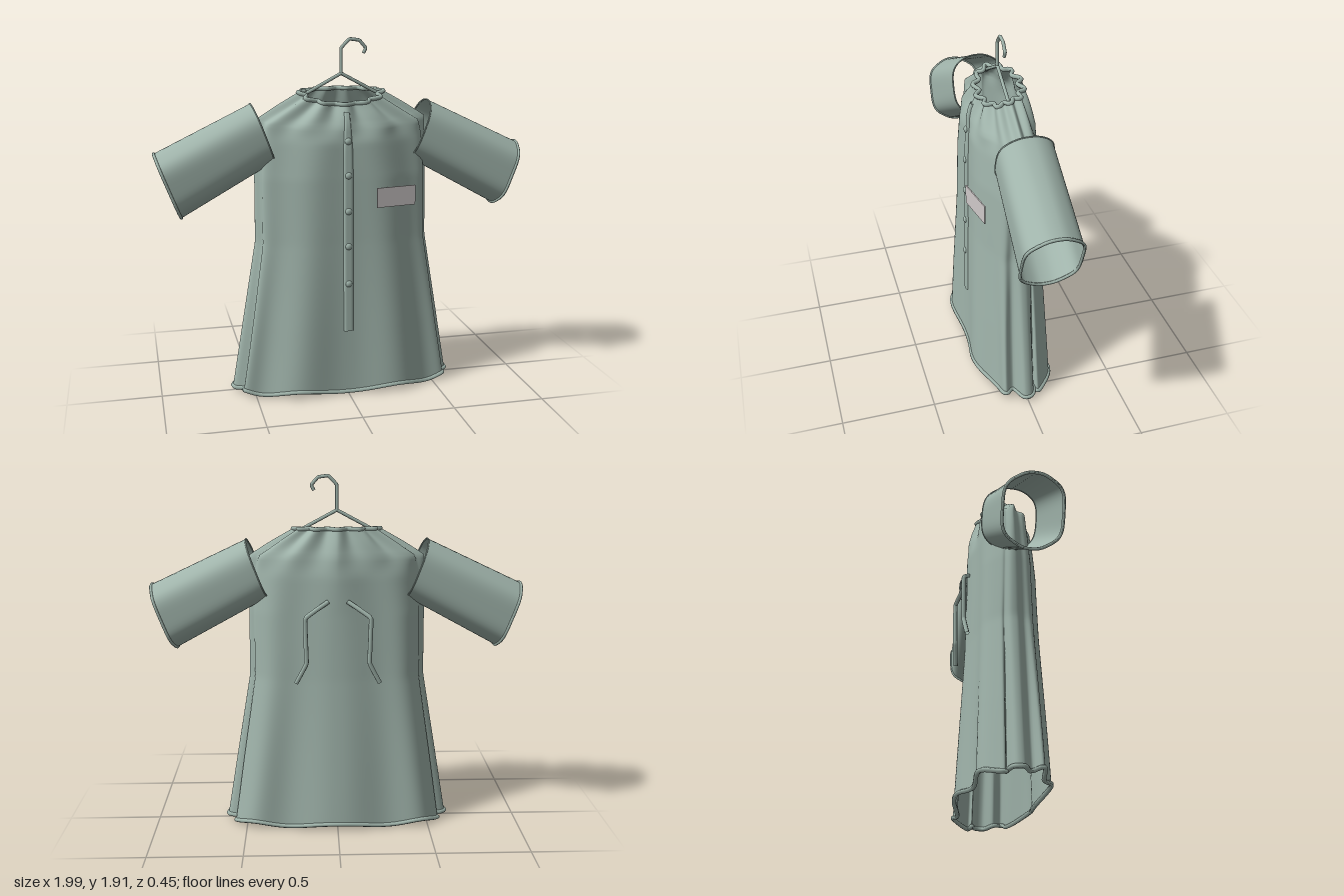
import * as THREE from 'three';

const cloth = new THREE.MeshStandardMaterial({ color: 0xa0b4ab, side: THREE.DoubleSide });
cloth.name = 'sage cloth';
const silver = new THREE.MeshStandardMaterial({ color: 0xcfcaca });
silver.name = 'badge silver';

const TAU = Math.PI * 2;
const { lerp, smoothstep } = THREE.MathUtils;
const power = (v, p) => Math.sign(v) * Math.abs(v) ** p;

// Surface from a function fn(u, v) -> Vector3; closed joins u = 1 to u = 0
function grid(fn, nu, nv, closed) {
  const pos = [], idx = [], cols = closed ? nu : nu + 1;
  for (let j = 0; j <= nv; j++)
    for (let i = 0; i < cols; i++) pos.push(...fn(i / nu, j / nv).toArray());
  for (let j = 0; j < nv; j++)
    for (let i = 0; i < nu; i++) {
      const k = (i + 1) % cols;
      const a = j * cols + i, b = j * cols + k, c = a + cols, d = b + cols;
      idx.push(a, c, b, b, c, d);
    }
  const g = new THREE.BufferGeometry();
  g.setAttribute('position', new THREE.Float32BufferAttribute(pos, 3));
  g.setIndex(idx);
  g.computeVertexNormals();
  return g;
}

// Gown sections: height, half width, front z, back z, squareness
const sections = [
  [0.035, 0.612, 0.208, 0.2, 0.85],
  [0.4, 0.55, 0.197, 0.185, 0.85],
  [0.85, 0.473, 0.182, 0.167, 0.87],
  [1.2, 0.47, 0.176, 0.163, 0.95],
  [1.4, 0.463, 0.168, 0.165, 1.1],
  [1.5, 0.452, 0.152, 0.154, 1.15],
  [1.57, 0.335, 0.13, 0.133, 1.1],
  [1.64, 0.215, 0.1, 0.108, 1]
];

function sectionAt(y) {
  let i = 0;
  while (i < sections.length - 2 && y > sections[i + 1][0]) i++;
  const a = sections[i], b = sections[i + 1], t = (y - a[0]) / (b[0] - a[0]);
  return a.map((v, k) => lerp(v, b[k], t));
}

// Point on the gown; angle 90 degrees is the front centre
function bodyPoint(angle, y) {
  const [, w, front, back, p] = sectionAt(y);
  const c = Math.cos(angle), s = Math.sin(angle), side = Math.sign(s);
  const low = 1 - smoothstep(y, 0.03, 1.1), neck = smoothstep(y, 1.4, 1.64);
  const hem = 1 - smoothstep(y, 0.03, 0.4);
  // Hanging folds, a valley at the front centre and a crest at the back
  const fold = -side * Math.cos(8 * angle) * smoothstep(Math.abs(s), 0, 0.35);
  const foldDepth = lerp(0.008, 0.018, low) * (1 - neck);
  // Inward pleats either side of the side seam
  const pleat = Math.exp(-(((Math.abs(s) - 0.23) / 0.1) ** 2)) * lerp(0.035, 0.11, low) * (1 - neck);
  const gather = 0.15 * neck * Math.cos(12 * angle);
  const x = w * power(c, p) * (1 - pleat) * (1 + gather * 0.5);
  const z = power(s, p) * (s > 0 ? front : back) * (1 + gather) + side * fold * foldDepth;
  const dip = (s > 0 ? -0.055 : -0.008) * s * smoothstep(y, 1.3, 1.64);
  return new THREE.Vector3(x, y + dip + 0.014 * hem * fold, z);
}

// Rounded trim along a closed ring of points
function ringTube(pointAt, n, r) {
  const pts = Array.from({ length: n }, (_, i) => pointAt((i / n) * TAU));
  return new THREE.TubeGeometry(new THREE.CatmullRomCurve3(pts, true), n * 2, r, 6, true);
}

// Rod through a few points with tight bends
function rod(points, r) {
  const curve = new THREE.CatmullRomCurve3(
    points.map(p => new THREE.Vector3(...p)), false, 'catmullrom', 0.08);
  return new THREE.TubeGeometry(curve, points.length * 10, r, 8, false);
}

// Sleeve point; t runs from the shoulder end to the cuff
function sleevePoint(side, angle, t) {
  const c = Math.cos(angle), s = Math.sin(angle);
  const ripple = 1 + lerp(0.01, 0.02, t) * (Math.cos(6 * angle) - 1);
  const h = lerp(0.163, 0.181, t) * power(c, 0.8) * ripple;
  const d = lerp(0.147, 0.152, t) * power(s, 0.8) * ripple;
  return new THREE.Vector3(
    side * (lerp(0.423, 0.929, t) + h * 0.355),
    lerp(1.432, 1.171, t) + h * 0.935, d + lerp(-0.014, 0.006, t));
}

export function createModel() {
  const model = new THREE.Group();
  const add = (name, geometry, material = cloth) => {
    const mesh = new THREE.Mesh(geometry, material);
    mesh.name = name;
    model.add(mesh);
    return mesh;
  };

  // Gown, open at neck and hem
  add('gownBody', grid((u, v) => bodyPoint(u * TAU, lerp(0.035, 1.64, v)), 200, 70, true));
  add('hemTrim', ringTube(a => bodyPoint(a, 0.035), 144, 0.012));
  add('collar', ringTube(a => bodyPoint(a, 1.64), 96, 0.012));

  // Sleeves with trimmed ends
  for (const side of [1, -1]) {
    const name = side > 0 ? 'left' : 'right';
    add(name + 'Sleeve', grid((u, v) => sleevePoint(side, u * TAU, v), 64, 12, true));
    add(name + 'Cuff', ringTube(a => sleevePoint(side, a, 0.985), 48, 0.008));
    add(name + 'SleeveSeam', ringTube(a => sleevePoint(side, a, 0), 48, 0.004));
  }

  // Button placket, narrowing to the top
  add('placket', grid((u, v) => {
    const p = bodyPoint(Math.PI / 2, lerp(0.37, 1.6, v));
    const k = 2 * u - 1;
    p.x = k * lerp(0.028, 0.015, smoothstep(v, 0.75, 1));
    p.z += 0.012 * (1 - k ** 6) - 0.002;
    return p;
  }, 12, 40, false));

  // Buttons
  for (const y of [1.4, 1.22, 1.03, 0.84, 0.635]) {
    const button = add('button', new THREE.SphereGeometry(0.018, 16, 10));
    button.position.set(0, y, bodyPoint(Math.PI / 2, y).z + 0.01);
    button.scale.z = 0.6;
  }

  // Name badge plate
  const badge = add('badge', new THREE.BoxGeometry(0.224, 0.105, 0.006), silver);
  badge.position.set(0.255, 1.102, 0.19);
  badge.rotation.y = 0.18;

  // Back ties
  for (const s of [1, -1])
    add('backTie', rod([
      [s * 0.05, 1.28, -0.175], [s * 0.17, 1.2, -0.215],
      [s * 0.165, 0.96, -0.212], [s * 0.22, 0.85, -0.2]
    ], 0.012));

  // Hanger
  add('hangerHook', rod([
    [0, 1.73, 0], [0, 1.865, 0], [0.045, 1.912, 0],
    [0.098, 1.905, 0], [0.133, 1.865, 0], [0.12, 1.838, 0]
  ], 0.009));
  for (const s of [1, -1])
    add('hangerArm', rod([[0, 1.735, 0], [s * 0.22, 1.617, 0], [s * 0.45, 1.49, 0]], 0.009));

  return model;
}
